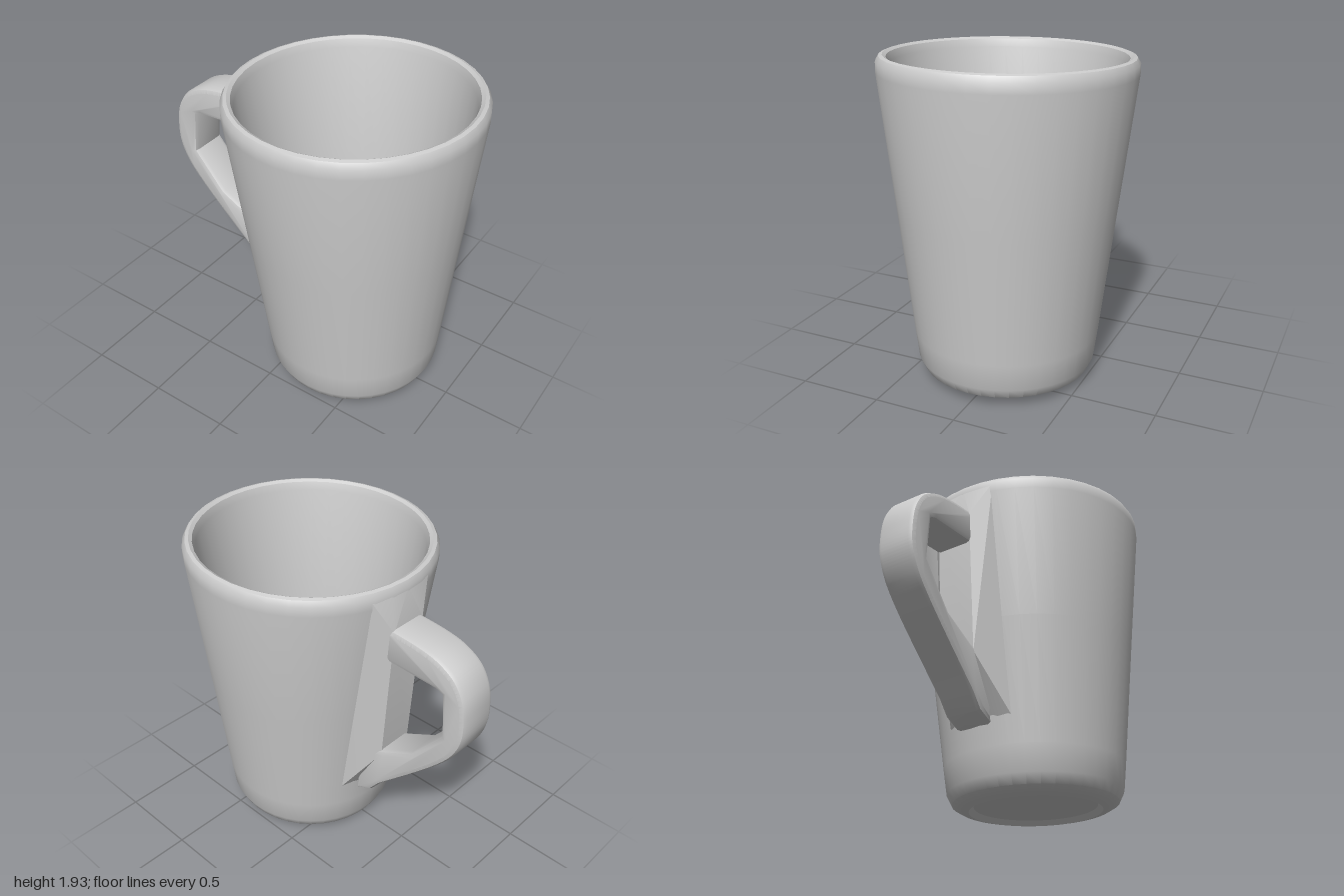
import * as THREE from 'three';
import { toCreasedNormals } from 'three/addons/utils/BufferGeometryUtils.js';
import { ConvexGeometry } from 'three/addons/geometries/ConvexGeometry.js';

const V2 = (p) => new THREE.Vector2(p[0], p[1]);
const TILT = 0.03;    // the cup leans slightly toward the handle
const BASE_X = 0.32;

export function createModel() {
  const model = new THREE.Group();
  const material = new THREE.MeshStandardMaterial({ color: 0xcccccc });
  const add = (name, geometry, crease) => {
    const mesh = new THREE.Mesh(toCreasedNormals(geometry, crease), material);
    mesh.name = name;
    model.add(mesh);
    return mesh;
  };

  // Cup: underside, tapered outer wall, rounded rim, inner wall and floor
  const profile = [
    [0, 0.03], [0.37, 0.03], [0.4, 0], [0.45, 0.012], [0.5, 0.04], [0.53, 0.1],
    [0.55, 0.26], [0.635, 1.0], [0.728, 1.8], [0.728, 1.86], [0.71, 1.89],
    [0.69, 1.897], [0.67, 1.885], [0.655, 1.84],
    [0.565, 1.0], [0.485, 0.26], [0.45, 0.14], [0.4, 0.1], [0, 0.1],
  ].map(V2);
  const cup = add('cup', new THREE.LatheGeometry(profile, 40), 0.6);
  cup.position.set(BASE_X, 0.013, 0);
  cup.rotation.z = TILT;

  // Handle: side outline swept across its width with rounded edges
  const outline = new THREE.Shape();
  outline.moveTo(-0.43, 1.66);
  outline.lineTo(-0.5, 1.66);
  outline.splineThru([
    [-0.67, 1.645], [-0.8, 1.615], [-0.91, 1.55], [-0.975, 1.45], [-1, 1.33],
    [-0.995, 1.18], [-0.935, 1.04], [-0.82, 0.9], [-0.65, 0.73],
  ].map(V2));
  for (const [x, y] of [
    [-0.43, 0.52], [-0.36, 0.43], [-0.25, 0.38], [-0.28, 0.74], [-0.45, 0.8],
    [-0.66, 0.91], [-0.86, 1.15], [-0.84, 1.42], [-0.8, 1.435], [-0.43, 1.45],
  ]) outline.lineTo(x, y);
  const bevel = 0.03;
  const handle = add('handle', new THREE.ExtrudeGeometry(outline, {
    depth: 0.25 - 2 * bevel, bevelEnabled: true, bevelThickness: bevel,
    bevelSize: bevel, bevelOffset: -bevel, bevelSegments: 2, curveSegments: 20,
  }), 0.6);
  handle.position.z = -0.167 + bevel;

  // Mounting rib: swells out of the wall between the two handle ends
  const wallX = (y, z) => {
    const r = 0.55 + (y - 0.26) * 0.113;
    return BASE_X - TILT * y - Math.sqrt(r * r - z * z) + 0.008;
  };
  const rib = [];
  for (const y of [0.4, 1.85])
    for (const z of [-0.25, -0.12, 0, 0.12, 0.2])
      rib.push(new THREE.Vector3(wallX(y, z), y, z));
  for (const [x, y] of [[-0.5, 1.64], [-0.435, 0.76]])
    for (const z of [-0.15, 0.08]) rib.push(new THREE.Vector3(x, y, z));
  add('handleRib', new ConvexGeometry(rib), 0.3);

  return model;
}
